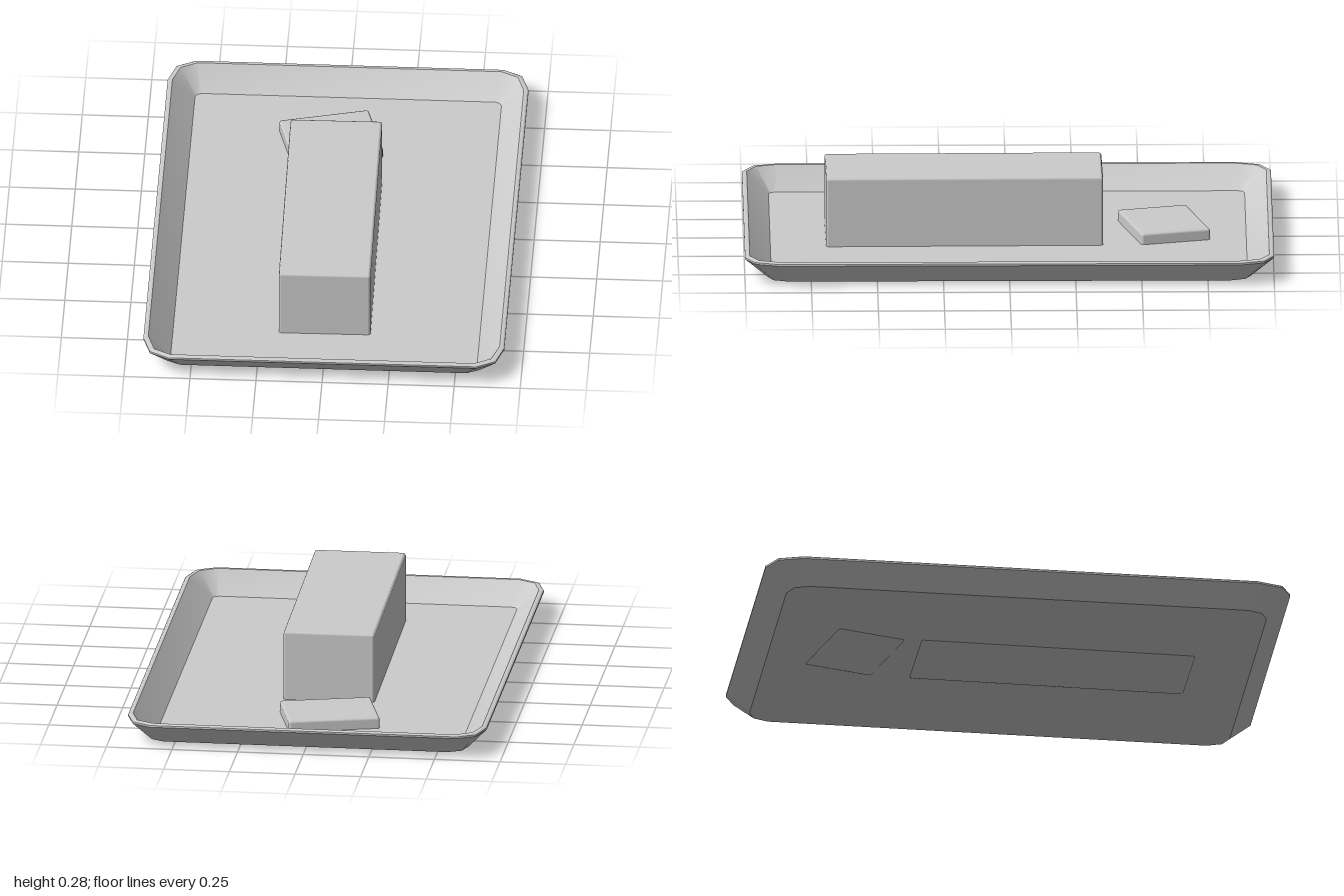
import * as THREE from 'three';
import { toCreasedNormals } from 'three/addons/utils/BufferGeometryUtils.js';
import { RoundedBoxGeometry } from 'three/addons/geometries/RoundedBoxGeometry.js';

const material = new THREE.MeshStandardMaterial({ color: 0xcccccc });

// Rectangle outline with two-segment rounded corners at height y
function ring(halfX, halfZ, rx, rz, y) {
  const points = [];
  for (let corner = 0; corner < 4; corner++) {
    const sx = corner === 0 || corner === 3 ? 1 : -1;
    const sz = corner < 2 ? 1 : -1;
    for (let k = 0; k <= 2; k++) {
      const a = corner * Math.PI / 2 + k * Math.PI / 4;
      points.push([sx * (halfX - rx) + Math.cos(a) * rx, y, sz * (halfZ - rz) + Math.sin(a) * rz]);
    }
  }
  return points;
}

// Joins successive rings and closes both ends with flat caps
function loft(rings) {
  const out = [];
  const tri = (...corners) => corners.forEach((p) => out.push(...p));
  const n = rings[0].length;
  const first = rings[0], last = rings[rings.length - 1];
  const start = [0, first[0][1], 0], end = [0, last[0][1], 0];
  for (let j = 0; j < n; j++) {
    const k = (j + 1) % n;
    tri(start, first[j], first[k]);
    for (let i = 0; i < rings.length - 1; i++) {
      const lower = rings[i], upper = rings[i + 1];
      tri(lower[j], upper[j], lower[k]);
      tri(lower[k], upper[j], upper[k]);
    }
    tri(last[j], end, last[k]);
  }
  const geometry = new THREE.BufferGeometry();
  geometry.setAttribute('position', new THREE.Float32BufferAttribute(out, 3));
  return toCreasedNormals(geometry, 0.6);
}

// Box with small chamfered edges, standing on y = 0
function block(name, width, height, depth, x, z, turn) {
  const mesh = new THREE.Mesh(new RoundedBoxGeometry(width, height, depth, 1, 0.01), material);
  mesh.name = name;
  mesh.position.set(x, height / 2, z);
  mesh.rotation.y = turn;
  return mesh;
}

export function createModel() {
  const model = new THREE.Group();
  model.name = 'trayWithBlocks';

  // Tray: underside, flared wall, thin lip, inner wall, floor
  const tray = new THREE.Mesh(loft([
    ring(0.61, 0.915, 0.07, 0.08, 0.004),
    ring(0.683, 1, 0.1, 0.13, 0.085),
    ring(0.683, 1, 0.1, 0.13, 0.092),
    ring(0.678, 0.995, 0.1, 0.13, 0.096),
    ring(0.665, 0.982, 0.09, 0.12, 0.096),
    ring(0.58, 0.9, 0.025, 0.025, 0.012),
  ]), material);
  tray.name = 'tray';
  model.add(tray);

  // Long block and the slice lying behind it
  model.add(block('longBlock', 0.347, 0.28, 1.047, -0.012, 0.167, 0.01));
  model.add(block('slice', 0.347, 0.055, 0.27, -0.05, -0.59, 0.26));

  return model;
}
